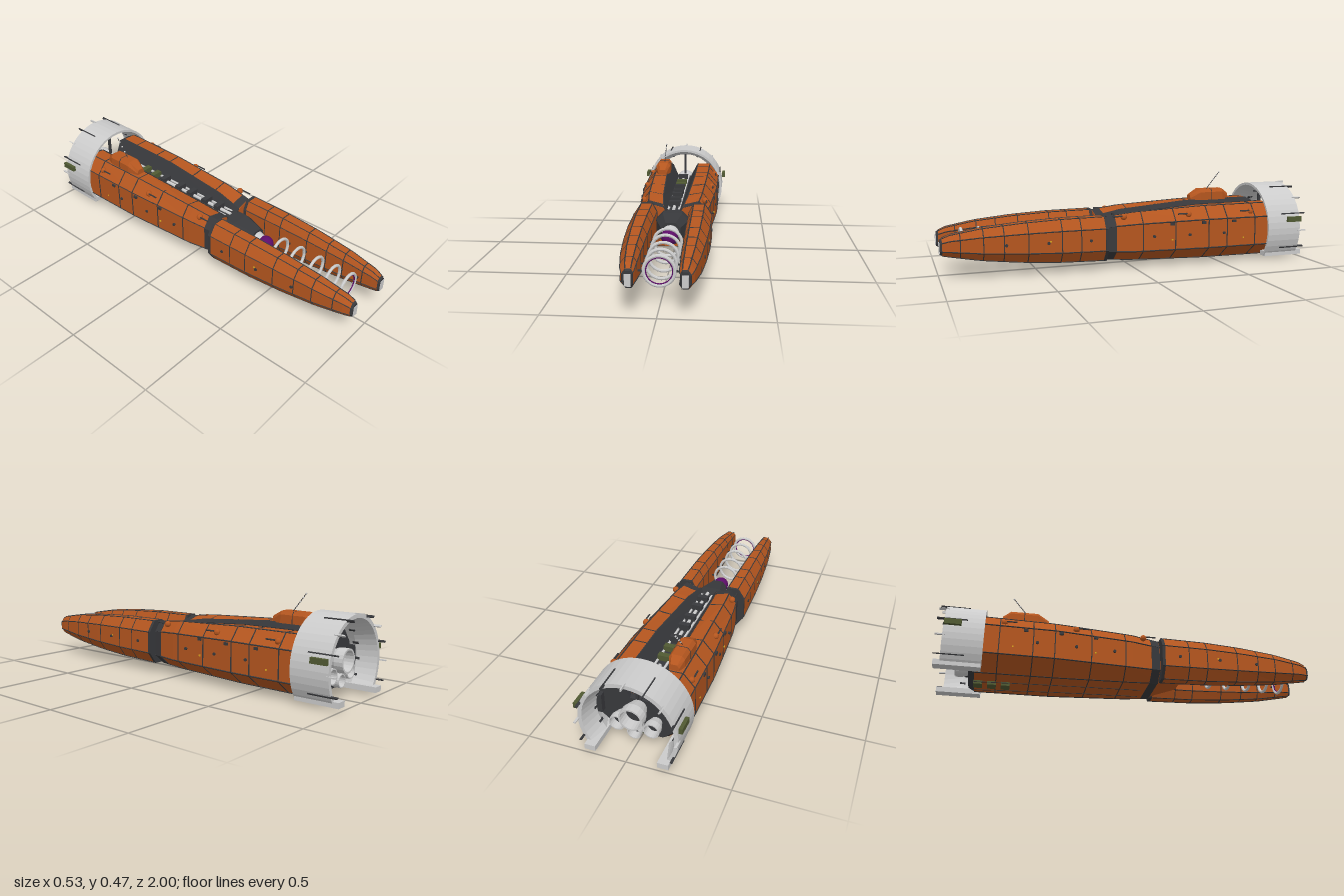
import * as THREE from 'three';

const mat = (color, side = THREE.FrontSide) => new THREE.MeshStandardMaterial({ color, flatShading: true, side });
const ORANGE = mat(0xb5561f), DARK = mat(0x38393c), GREY = mat(0xcccccc), GREY2 = mat(0xcccccc, THREE.DoubleSide);
const DARK2 = mat(0x38393c, THREE.DoubleSide), OLIVE = mat(0x515a33), YELLOW = mat(0xd9a520);
const PURPLE = new THREE.MeshStandardMaterial({ color: 0x5c0d68 });

// Solid through cross-sections {z, p:[[x,y]...]} ordered back to front, corners counter-clockwise
function loft(secs) {
  const n = secs[0].p.length, pos = [], idx = [];
  secs.forEach(s => s.p.forEach(([x, y]) => pos.push(x, y, s.z)));
  for (let i = 0; i < secs.length - 1; i++) for (let j = 0; j < n; j++) {
    const a = i * n + j, b = i * n + (j + 1) % n;
    idx.push(a, b, b + n, a, b + n, a + n);
  }
  const cap = (s, off, flip) => THREE.ShapeUtils.triangulateShape(s.p.map(q => new THREE.Vector2(...q)), [])
    .forEach(([a, b, c]) => flip ? idx.push(off + c, off + b, off + a) : idx.push(off + a, off + b, off + c));
  cap(secs[0], 0, true);
  cap(secs.at(-1), (secs.length - 1) * n, false);
  const g = new THREE.BufferGeometry();
  g.setAttribute('position', new THREE.Float32BufferAttribute(pos, 3));
  g.setIndex(idx);
  g.computeVertexNormals();
  return g;
}
const mirror = secs => secs.map(s => ({ z: s.z, p: s.p.map(([x, y]) => [-x, y]).reverse() }));

// Cross-section at any z between the given ones
function sectionAt(secs, z) {
  let i = 0;
  while (i < secs.length - 2 && secs[i + 1].z < z) i++;
  const a = secs[i], b = secs[i + 1], t = (z - a.z) / (b.z - a.z);
  return a.p.map(([x, y], j) => [x + (b.p[j][0] - x) * t, y + (b.p[j][1] - y) * t]);
}
// Thin band slightly proud of the surface
function band(secs, z, w, cx, cy, k = 1.012) {
  const grow = zz => ({ z: zz, p: sectionAt(secs, zz).map(([x, y]) => [cx + (x - cx) * k, cy + (y - cy) * k]) });
  return loft([grow(z - w / 2), grow(z + w / 2)]);
}
// Trim running along one corner of a loft
function trim(secs, j, r) {
  const pts = secs.map(s => new THREE.Vector3(s.p[j][0], s.p[j][1], s.z));
  return new THREE.TubeGeometry(new THREE.CatmullRomCurve3(pts, false, 'catmullrom', 0), 20, r, 4);
}

export function createModel() {
  const root = new THREE.Group();
  const add = (name, geo, m, x = 0, y = 0, z = 0) => {
    const o = new THREE.Mesh(geo, m);
    o.name = name;
    o.position.set(x, y, z);
    root.add(o);
    return o;
  };
  const box = (name, m, w, h, d, x, y, z) => add(name, new THREE.BoxGeometry(w, h, d), m, x, y, z);
  const tubeZ = (r1, r2, len, seg, open = false) => new THREE.CylinderGeometry(r1, r2, len, seg, 1, open).rotateX(Math.PI / 2);

  // Main hull with an open trough along the top
  const rows = [ // z, lip x, y, shoulder x, y, side x, side top, side bottom, keel x, y, floor x
    [-0.8, 0.09, 0.32, 0.165, 0.32, 0.222, 0.25, 0.095, 0.13, 0.024, 0.05],
    [-0.4, 0.088, 0.315, 0.16, 0.318, 0.218, 0.25, 0.095, 0.13, 0.027, 0.05],
    [0, 0.07, 0.285, 0.145, 0.3, 0.19, 0.24, 0.095, 0.12, 0.04, 0.045],
    [0.15, 0.052, 0.26, 0.13, 0.282, 0.168, 0.23, 0.1, 0.11, 0.05, 0.04]];
  const hull = rows.map(([z, lx, ly, tx, ty, sx, st, sb, kx, ky, fx]) => {
    const half = [[kx, ky], [sx, sb], [sx, st], [tx, ty], [lx, ly], [fx, 0.235]];
    return { z, p: [...half, ...half.map(([x, y]) => [-x, y]).reverse()] };
  });
  add('hull', loft(hull), ORANGE);
  for (const z of [-0.69, -0.52, -0.41, -0.22, -0.04]) add('hullSeam', band(hull, z, 0.005, 0, 0.17), DARK);
  for (const j of [0, 1, 2, 3, 8, 9, 10, 11]) add('hullTrim', trim(hull, j, 0.0035), DARK);
  add('hullNeck', band(hull, 0.125, 0.045, 0, 0.17, 1.015), DARK);

  // Trough lining and equipment
  const lining = rows.map(([z, lx, ly, , , , , , , , fx]) => ({ z,
    p: [[fx - 0.012, 0.234], [fx, 0.234], [lx, ly + 0.003], [lx - 0.005, ly + 0.003]] }));
  add('troughWall', loft(lining), DARK);
  add('troughWall', loft(mirror(lining)), DARK);
  box('troughFloor', DARK, 0.09, 0.01, 0.95, 0, 0.234, -0.325);
  box('spineRail', GREY, 0.01, 0.008, 0.9, 0.028, 0.243, -0.33);
  box('spineRail', GREY, 0.01, 0.008, 0.9, -0.028, 0.243, -0.33);
  for (const z of [-0.52, -0.44]) box('troughCrate', OLIVE, 0.06, 0.03, 0.03, 0, 0.255, z);
  for (const z of [-0.66, -0.36, -0.24, -0.15, -0.04, 0.05]) {
    box('troughUnit', DARK, 0.058, 0.035, 0.03, 0, 0.257, z);
    add('spinePipe', tubeZ(0.009, 0.009, 0.07, 8), GREY, 0, 0.246, z + 0.05);
  }

  // Dark nose, orange chin, collar and emitter ball
  const oct = (w, y0, y1, c) => [[w - c, y0], [w, y0 + c], [w, y1 - c], [w - c, y1], [c - w, y1], [-w, y1 - c], [-w, y0 + c], [c - w, y0]];
  add('nose', loft([{ z: 0.1, p: oct(0.09, 0.095, 0.245, 0.04) }, { z: 0.2, p: oct(0.085, 0.1, 0.243, 0.035) },
    { z: 0.32, p: oct(0.05, 0.115, 0.225, 0.025) }]), DARK);
  add('chin', loft([{ z: 0.12, p: [[0.11, 0.049], [0.095, 0.12], [-0.095, 0.12], [-0.11, 0.049]] },
    { z: 0.29, p: [[0.06, 0.095], [0.055, 0.13], [-0.055, 0.13], [-0.06, 0.095]] }]), ORANGE);
  add('collar', tubeZ(0.033, 0.05, 0.06, 20), GREY, 0, 0.17, 0.33);
  add('emitterBall', new THREE.SphereGeometry(0.042, 24, 16), PURPLE, 0, 0.17, 0.376);

  // Accelerator rings held between the prongs
  for (const z of [0.47, 0.575, 0.69, 0.79, 0.88]) {
    add('acceleratorRing', new THREE.TorusGeometry(0.068, 0.008, 8, 32), GREY, 0, 0.17, z);
    for (const s of [-1, 1]) box('ringMount', DARK, 0.03, 0.008, 0.008, s * 0.083, 0.17, z);
  }
  add('ringLining', new THREE.TorusGeometry(0.059, 0.003, 6, 32), PURPLE, 0, 0.17, 0.88);

  // Two forward prongs
  const prong = [[0.155, 0.085, 0.205, 0.055, 0.287], [0.4, 0.087, 0.202, 0.062, 0.284], [0.6, 0.089, 0.193, 0.076, 0.274],
    [0.8, 0.091, 0.178, 0.098, 0.256], [0.95, 0.094, 0.158, 0.124, 0.23], [0.985, 0.097, 0.147, 0.13, 0.215]]
    .map(([z, a, b, y0, y1]) => {
      const w = b - a, h = y1 - y0;
      return { z, p: [[b - w * 0.35, y0], [b, y0 + h * 0.25], [b, y1 - h * 0.25], [b - w * 0.32, y1],
        [a + w * 0.2, y1], [a, y1 - h * 0.2], [a, y0 + h * 0.2], [a + w * 0.2, y0]] };
    });
  const tip = [prong.at(-1), { z: 0.996, p: prong.at(-1).p.map(([x, y]) => [0.12 + (x - 0.12) * 0.8, 0.17 + (y - 0.17) * 0.85]) }];
  for (const s of [1, -1]) {
    const secs = s > 0 ? prong : mirror(prong);
    add('prong', loft(secs), ORANGE);
    add('prongTip', loft(s > 0 ? tip : mirror(tip)), DARK);
    box('prongLamp', GREY, 0.028, 0.055, 0.012, s * 0.12, 0.168, 0.994);
    add('prongRearFrame', band(secs, 0.162, 0.016, s * 0.145, 0.17, 1.02), DARK);
    for (const z of [0.3, 0.4, 0.57, 0.69, 0.79, 0.9]) add('prongSeam', band(secs, z, 0.005, s * 0.14, 0.17, 1.015), DARK);
    for (let j = 0; j < 8; j++) add('prongTrim', trim(secs, j, 0.003), DARK);

    // Portholes, lit windows and side bolts
    for (const [z, x] of [[0.68, 0.187], [0.47, 0.199], [0.25, 0.204], [-0.1, 0.2], [-0.3, 0.212], [-0.5, 0.22]])
      add('porthole', new THREE.CylinderGeometry(0.008, 0.008, 0.012, 8).rotateZ(Math.PI / 2), DARK, s * x, 0.172, z);
    for (const [z, x, y] of [[0.46, 0.2, 0.18], [-0.62, 0.22, 0.14], [-0.2, 0.207, 0.15]])
      box('window', YELLOW, 0.006, 0.008, 0.008, s * x, y, z);

    // Small gun turrets on the upper slopes
    for (const [z, x] of [[0.06, 0.165], [-0.3, 0.19], [-0.67, 0.197]]) {
      add('turret', new THREE.SphereGeometry(0.017, 10, 8), ORANGE, s * x, 0.28, z);
      add('turretBarrel', tubeZ(0.004, 0.004, 0.06, 6), DARK, s * (x + 0.008), 0.285, z + 0.035);
    }
    for (const z of [-0.56, -0.38, -0.2]) box('sideVent', DARK, 0.012, 0.014, 0.022, s * (z < -0.3 ? 0.22 : 0.207), 0.235, z);

    // Stern feet, side crates, belly skids
    box('sternFoot', GREY, 0.054, 0.028, 0.23, s * 0.179, 0.032, -0.883);
    box('sideCrate', OLIVE, 0.018, 0.028, 0.085, s * 0.254, 0.23, -0.92);
    const skid = new THREE.CatmullRomCurve3([new THREE.Vector3(s * 0.045, 0.03, 0.07), new THREE.Vector3(s * 0.048, 0.02, -0.35),
      new THREE.Vector3(s * 0.055, 0.004, -0.8)]);
    add('bellyAerial', new THREE.TubeGeometry(skid, 12, 0.002, 5), DARK);
  }
  for (const z of [-0.64, -0.71, -0.78]) box('bellyCrate', OLIVE, 0.058, 0.024, 0.045, 0, 0.017, z);

  // Stern shroud ring, open below
  const arc = THREE.MathUtils.degToRad(128);
  const profile = [[0.232, 0.765], [0.245, 0.765], [0.245, 0.965], [0.225, 0.965], [0.2, 0.865], [0.232, 0.765]];
  add('sternRing', new THREE.LatheGeometry(profile.map(q => new THREE.Vector2(...q)), 32, -arc, arc * 2).rotateX(-Math.PI / 2), GREY2, 0, 0.17, 0);
  for (let i = -5; i <= 5; i++) {
    const a = i * 0.4, long = i % 2 !== 0;
    const len = long ? 0.15 : 0.05;
    const fin = box('ringFin', long ? DARK : GREY, 0.006, 0.012, len, Math.sin(a) * 0.243, 0.17 + Math.cos(a) * 0.243, -1 + len / 2);
    fin.rotation.z = -a;
    const lug = box('ringLug', DARK, 0.012, 0.012, 0.03, Math.sin(a) * 0.205, 0.17 + Math.cos(a) * 0.205, -0.865);
    lug.rotation.z = -a;
  }
  box('ringStrut', DARK, 0.012, 0.13, 0.015, 0, 0.31, -0.84);
  for (const s of [-1, 1]) box('ringBracket', DARK, 0.05, 0.1, 0.08, s * 0.2, 0.18, -0.82);

  // Stern bulkhead and engines
  add('sternBulkhead', loft([{ z: -0.83, p: hull[0].p.map(([x, y]) => [x * 0.86, 0.17 + (y - 0.17) * 0.92]) },
    { z: -0.798, p: hull[0].p }]), DARK);
  for (const [x, y, r, len] of [[0, 0.19, 0.06, 0.11], [0.085, 0.125, 0.04, 0.08], [-0.085, 0.125, 0.04, 0.08], [0, 0.09, 0.034, 0.08]]) {
    const bell = [[r * 0.6, 0], [r, len * 0.6], [r, len], [r * 0.85, len], [r * 0.8, len * 0.5], [0, len * 0.3]];
    add('engineNozzle', new THREE.LatheGeometry(bell.map(q => new THREE.Vector2(...q)), 20).rotateX(-Math.PI / 2), GREY2, x, y, -0.82);
    add('engineCore', new THREE.CircleGeometry(r * 0.75, 16), DARK2, x, y, -0.82 - len * 0.52);
  }

  // Sensor pod with a leaning mast on the right shoulder
  const podSec = (z, w, y1) => ({ z, p: [[-0.115 + w, 0.315], [-0.115 + w, y1 - 0.018], [-0.115 + w * 0.65, y1],
    [-0.115 - w * 0.65, y1], [-0.115 - w, y1 - 0.018], [-0.115 - w, 0.315]] });
  const pod = [podSec(-0.68, 0.025, 0.35), podSec(-0.64, 0.04, 0.378), podSec(-0.5, 0.043, 0.378), podSec(-0.44, 0.025, 0.345)];
  add('sensorPod', loft(pod), ORANGE);
  add('sensorPodSeam', band(pod, -0.57, 0.004, -0.115, 0.34), DARK);
  const mastA = new THREE.Vector3(-0.11, 0.375, -0.55), mastB = new THREE.Vector3(-0.106, 0.474, -0.63);
  add('mast', new THREE.TubeGeometry(new THREE.LineCurve3(mastA, mastB), 1, 0.002, 6), DARK);
  for (const t of [0.3, 0.55, 0.78, 0.98]) {
    const p = mastA.clone().lerp(mastB, t);
    add('mastBead', new THREE.SphereGeometry(0.005, 8, 6), GREY, p.x, p.y, p.z);
  }
  return root;
}
